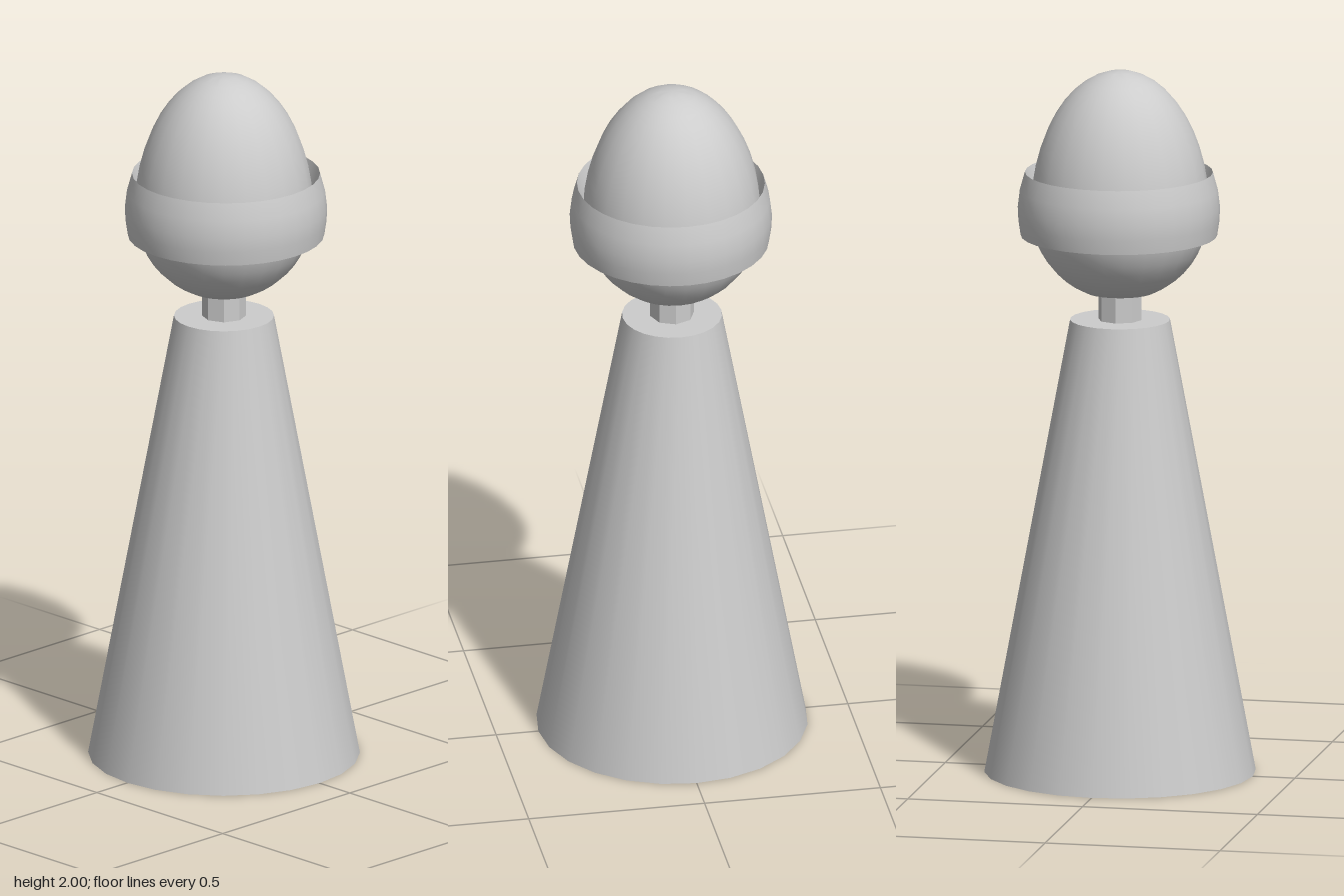
import * as THREE from 'three';
import { toCreasedNormals } from 'three/addons/utils/BufferGeometryUtils.js';

export function createModel() {
  const model = new THREE.Group();
  const grey = new THREE.MeshStandardMaterial({ color: 0xcccccc });
  grey.name = 'grey';

  const add = (name, geometry, x = 0, y = 0, z = 0) => {
    const mesh = new THREE.Mesh(geometry, grey);
    mesh.name = name;
    mesh.position.set(x, y, z);
    model.add(mesh);
    return mesh;
  };
  const lathe = (points, sides) => toCreasedNormals(
    new THREE.LatheGeometry(points.map(([r, y]) => new THREE.Vector2(r, y)), sides), 0.6);

  // Tapered body
  add('body', new THREE.CylinderGeometry(0.14, 0.38, 1.29, 24), 0, 0.645, 0);

  // Short faceted neck, sunk into the body and the head
  add('neck', toCreasedNormals(new THREE.CylinderGeometry(0.062, 0.062, 0.14, 8), 0.5), 0, 1.34, 0);

  // Egg-shaped head: round below, taller above, cut flat underneath
  const centre = 1.6, radius = 0.25;
  const start = -Math.asin(0.23 / 0.25), steps = 20;
  const egg = [[0, 1.37]];
  for (let i = 0; i <= steps; i++) {
    const a = start + (Math.PI / 2 - start) * (i / steps);
    const r = i === steps ? 0 : radius * Math.cos(a);
    egg.push([r, centre + Math.sin(a) * (a < 0 ? 0.25 : 0.4)]);
  }
  add('head', lathe(egg, 24));

  // Bulging band with a flat underside and a thin lip standing off the head
  add('headBand', lathe([
    [0.22, 1.53], [0.275, 1.53], [0.281, 1.57], [0.283, 1.61], [0.277, 1.66],
    [0.263, 1.71], [0.24, 1.64],
  ], 32), 0.004, 0, -0.004);

  return model;
}
